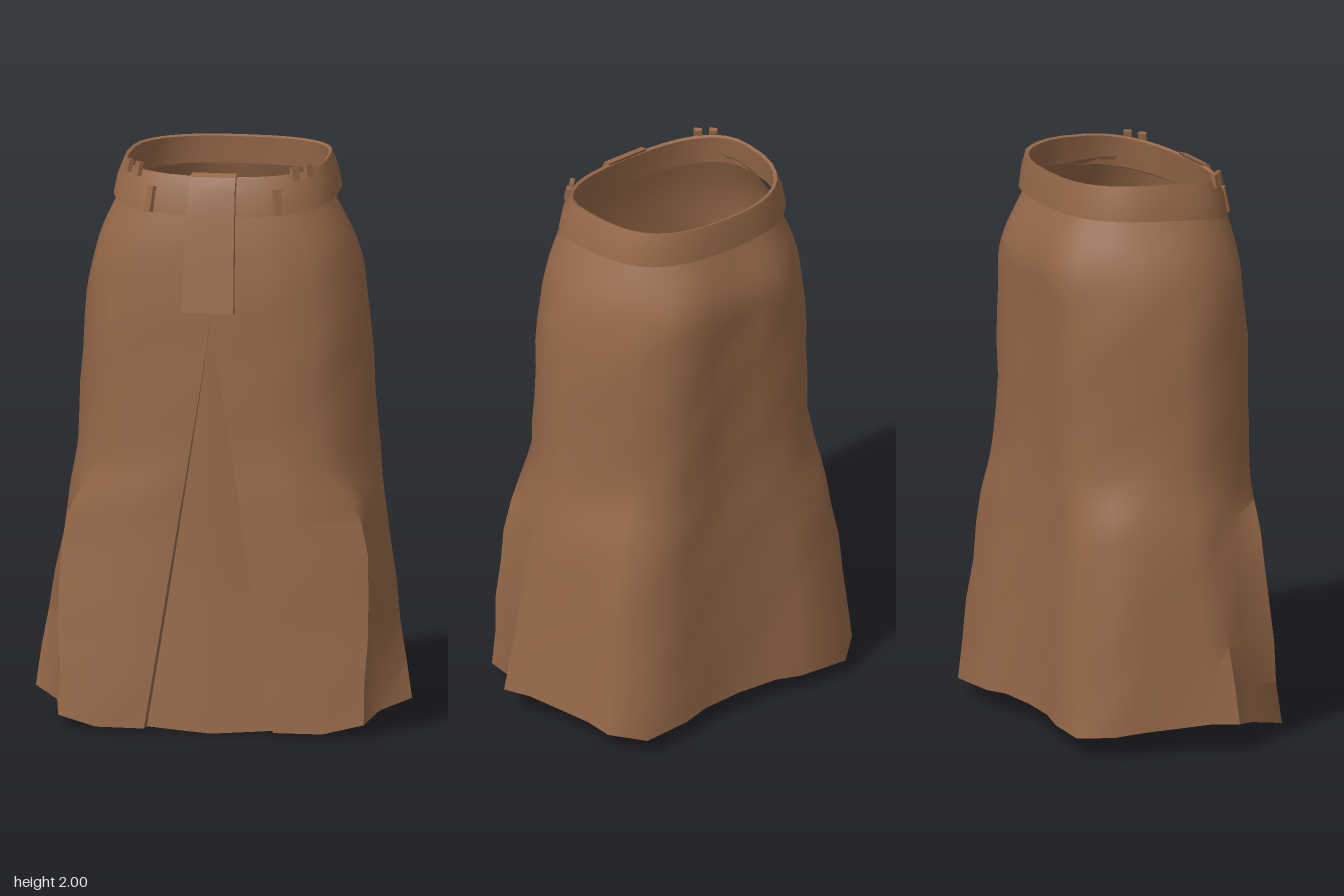
import * as THREE from 'three';
import { toCreasedNormals } from 'three/addons/utils/BufferGeometryUtils.js';

// Half cross-sections as x,z pairs, running from the front opening round the side to the back centre
const WAIST = [0, .303, .14, .303, .255, .27, .322, .2, .35, .12, .35, .03, .32, -.1, .275, -.18, .215, -.24, .15, -.265, .08, -.275, 0, -.278];
const HIGH = [0, .338, .17, .338, .325, .3, .408, .215, .445, .1, .447, 0, .4, -.13, .345, -.22, .27, -.305, .18, -.343, .1, -.345, 0, -.332];
const HIP = [0, .35, .19, .35, .36, .31, .44, .225, .49, .1, .49, 0, .43, -.14, .375, -.235, .295, -.315, .19, -.338, .1, -.34, 0, -.325];
const THIGH = [.075, .363, .22, .362, .38, .315, .465, .225, .52, .1, .525, 0, .452, -.14, .388, -.24, .31, -.315, .2, -.325, .1, -.32, 0, -.305];
const KNEE = [.112, .37, .28, .373, .52, .28, .515, .18, .562, .08, .555, 0, .495, -.16, .45, -.26, .37, -.338, .22, -.334, .12, -.325, 0, -.318];
const HEM = [.228, .4, .4, .395, .54, .355, .57, .22, .665, .12, .62, .03, .54, -.2, .53, -.3, .43, -.395, .25, -.38, .15, -.36, 0, -.35];
const HEM_Y = [.02, .02, .05, .08, .11, .11, .09, .085, .07, .07, .08, .08];
const SECTIONS = [[1.9, WAIST], [1.7, HIGH], [1.5, HIP], [.98, THIGH], [.75, KNEE], [null, HEM]];
const COLUMNS = 12, ROWS = 25;

// Surface through rows of points
function loft(rows, closed = false) {
  const n = rows[0].length, index = [];
  for (let r = 0; r < rows.length - 1; r++) {
    for (let c = 0; c < (closed ? n : n - 1); c++) {
      const d = (c + 1) % n;
      const a = r * n + c, b = a + n, e = r * n + d, f = e + n;
      index.push(a, b, e, b, f, e);
    }
  }
  const geo = new THREE.BufferGeometry().setFromPoints(rows.flat());
  geo.setIndex(index);
  geo.computeVertexNormals();
  return geo;
}

// Vertical curve of one column of the skirt
function columnCurve(c) {
  return new THREE.CatmullRomCurve3(SECTIONS.map(([y, s]) =>
    new THREE.Vector3(s[c * 2], y ?? HEM_Y[c], s[c * 2 + 1])), false, 'centripetal');
}

// Waistband ring point at an angle measured from the front; the ring is widest a little before the middle
function ringPoint(angle, width, front, back, yFront, yBack) {
  const s = Math.sin(angle), k = Math.cos(angle), middle = .06;
  const round = v => Math.sign(v) * Math.abs(v) ** .77;
  const t = (1 - k) / 2;
  return new THREE.Vector3(width * round(s), yFront + (yBack - yFront) * Math.min(1, t * 1.6),
    middle + round(k) * (k > 0 ? front - middle : back + middle));
}

export function createModel() {
  const group = new THREE.Group();
  const cloth = new THREE.MeshStandardMaterial({ color: 0x966848, side: THREE.DoubleSide });
  cloth.name = 'brown cloth';
  const add = (name, geo) => {
    const mesh = new THREE.Mesh(geo, cloth);
    mesh.name = name;
    group.add(mesh);
    return mesh;
  };

  // Skirt: mirrored columns, with slight irregular folds
  const columns = [];
  for (let c = 0; c < COLUMNS; c++) columns.push(columnCurve(c).getPoints(ROWS));
  columns[0].forEach(p => { p.x = p.y > 1.5 ? 0 : Math.max(0, p.x); });
  const skirtRows = [];
  for (let r = 0; r <= ROWS; r++) {
    const row = [];
    for (let i = 0; i < COLUMNS * 2 - 1; i++) {
      const c = i < COLUMNS ? i : COLUMNS * 2 - 2 - i;
      const p = columns[c][r].clone();
      if (i >= COLUMNS) p.x *= -1;
      if (c > 0 && r < ROWS) {
        const fold = (.005 * Math.sin(p.y * 8 + i * 2.4) + .005 * Math.sin(p.y * 19 + i * 4.1))
          * Math.min(1, (1.9 - p.y) * 3);
        p.x *= 1 + fold;
        p.z *= 1 + fold * 1.6;
      }
      row.push(p);
    }
    skirtRows.push(row);
  }
  add('skirt', toCreasedNormals(loft(skirtRows), 1));

  // Recessed panel filling the front opening
  const panelRows = columns[0].filter(p => p.y <= 1.6).map(p => {
    const depth = Math.min(.045, p.x * .3);
    const drop = p.y < .03 ? .015 : 0;
    return [[-1, 0, 0], [-.99, 1, 0], [-.4, .75, .6], [0, .65, 1], [.4, .75, .6], [.99, 1, 0], [1, 0, 0]]
      .map(([x, d, l]) => new THREE.Vector3(p.x * x, p.y - drop * l, p.z - depth * d));
  });
  add('frontPanel', toCreasedNormals(loft(panelRows), .8));

  // Waistband, lower at the front than at the back
  const profile = [
    [.355, .3, .29, 1.955, 2], [.378, .325, .298, 1.89, 1.945], [.392, .335, .303, 1.82, 1.88],
    [.36, .31, .285, 1.835, 1.89], [.345, .29, .275, 1.95, 1.995], [.355, .3, .29, 1.955, 2]];
  const beltRows = profile.map(p => Array.from({ length: 36 }, (_, i) =>
    ringPoint(i / 36 * Math.PI * 2, ...p)));
  add('waistband', toCreasedNormals(loft(beltRows, true), .7));

  // Belt loops
  for (const side of [-1, 1]) {
    for (const [angle, y, h, out] of [[.52, 1.87, .09, .385], [.78, 1.965, .05, .362], [1.0, 1.97, .045, .362]]) {
      const p = ringPoint(angle * side, out, out - .055, .3, y, y);
      const loop = add('beltLoop', new THREE.BoxGeometry(.028, h, .016));
      loop.position.copy(p);
      loop.rotation.set(-.2, Math.atan2(p.x, p.z), 0, 'YXZ');
    }
  }

  // Hanging belt end, drawn as a side profile and given width
  const tab = new THREE.Shape([[.285, 1.965], [.318, 1.955], [.338, 1.91], [.36, 1.8], [.383, 1.64], [.403, 1.49],
    [.38, 1.487], [.362, 1.64], [.342, 1.8], [.325, 1.87], [.3, 1.93]]
    .map(([z, y]) => new THREE.Vector2(z, y)));
  const tabGeo = new THREE.ExtrudeGeometry(tab, { depth: .16, bevelEnabled: false });
  tabGeo.rotateY(-Math.PI / 2).translate(.08, 0, 0);
  const pos = tabGeo.attributes.position;
  for (let i = 0; i < pos.count; i++) {
    const fall = 1.965 - pos.getY(i);
    pos.setX(i, pos.getX(i) * (1 + fall * .32) - fall * .008);
  }
  add('beltEnd', toCreasedNormals(tabGeo, .6));

  return group;
}
